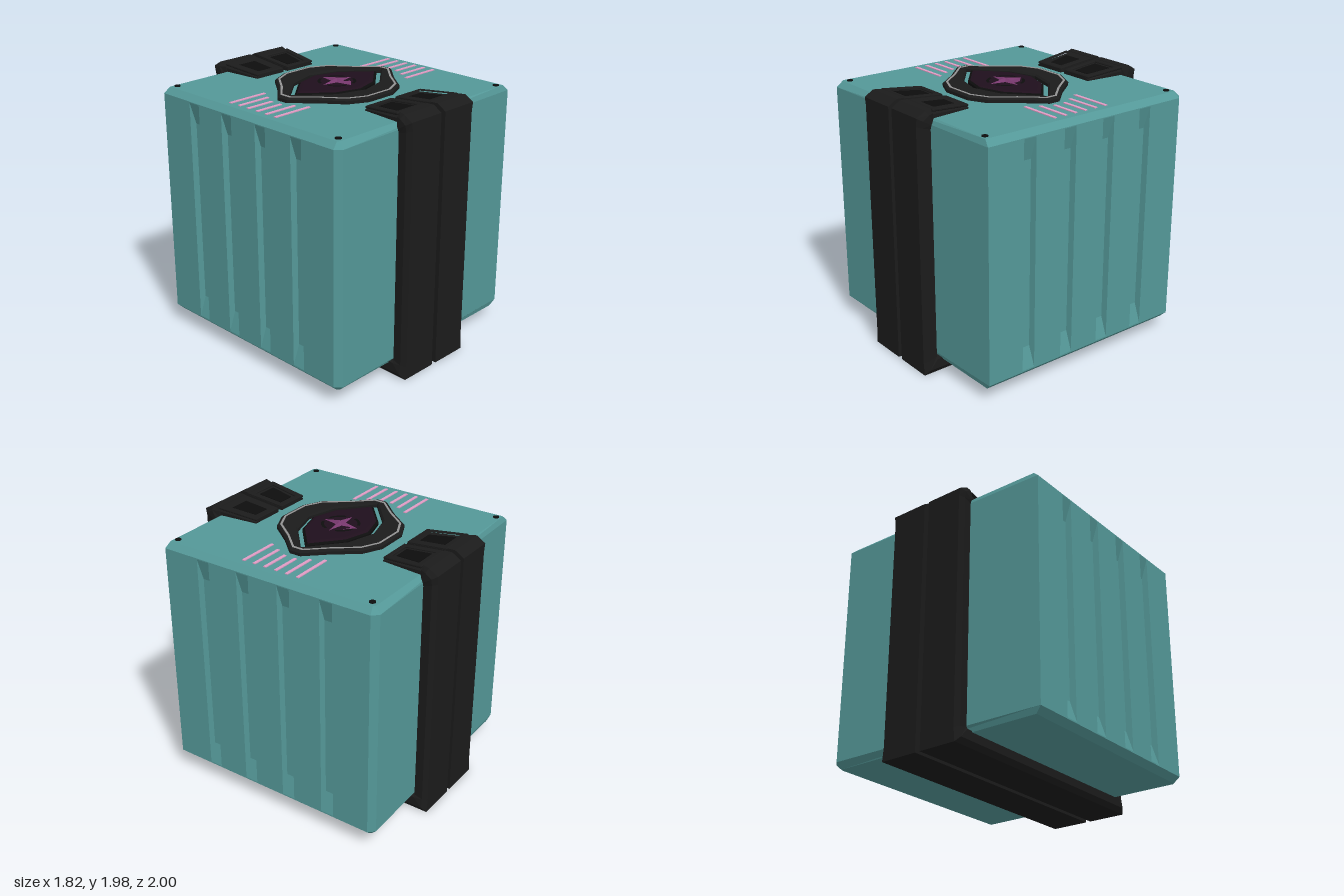
import * as THREE from 'three';

const paint = (color) => new THREE.MeshStandardMaterial({ color, flatShading: true });
const TEAL = paint(0x549898), BLACK = paint(0x1b1b1b), DARK = paint(0x0d0d0d);
const LENS = paint(0x1f0f1c), PURPLE = paint(0x78386e), PINK = paint(0xe09cc4), GREY = paint(0x929292);
const TOP = 1.915; // height of the lid

function addMesh(parent, name, geometry, material) {
  const mesh = new THREE.Mesh(geometry, material);
  mesh.name = name;
  parent.add(mesh);
  return mesh;
}

// Skin a list of equal-length rings of [x, y, z] points and close both ends
function loft(rings) {
  const n = rings[0].length, index = [], last = (rings.length - 1) * n;
  for (let i = 0; i < rings.length - 1; i++) {
    for (let j = 0; j < n; j++) {
      const a = i * n + j, b = i * n + ((j + 1) % n);
      index.push(a, b, b + n, a, b + n, a + n);
    }
  }
  for (let j = 1; j < n - 1; j++) index.push(0, j + 1, j, last, last + j, last + j + 1);
  const geometry = new THREE.BufferGeometry();
  geometry.setAttribute('position', new THREE.Float32BufferAttribute(rings.flat(2), 3));
  geometry.setIndex(index);
  const flat = geometry.toNonIndexed();
  flat.computeVertexNormals();
  return flat;
}

// Mirror quarter-outline points [x, z] (from +x round to z) into a closed loop
function fourWay(quarter) {
  const flip = [...quarter].reverse().map(([x, z]) => [-x, z]);
  const half = [...quarter, ...flip];
  const all = [...half, ...half.map(([x, z]) => [-x, -z])];
  return all.filter((p, i) => {
    const q = all[(i + 1) % all.length];
    return Math.hypot(p[0] - q[0], p[1] - q[1]) > 1e-6;
  });
}

// Flat plate lying on the lid, with an optional hole
function plate(outline, hole, depth, bevel = 0) {
  const toPoints = (list) => list.map(([x, z]) => new THREE.Vector2(x, -z));
  const shape = new THREE.Shape(toPoints(outline));
  if (hole) shape.holes.push(new THREE.Path(toPoints(hole)));
  const geometry = new THREE.ExtrudeGeometry(shape, {
    depth: depth - bevel, bevelEnabled: bevel > 0, bevelSize: bevel,
    bevelThickness: bevel, bevelOffset: -bevel, bevelSegments: 1,
  });
  return geometry.rotateX(-Math.PI / 2);
}

const scaled = (list, k) => list.map(([x, z]) => [x * k, z * k]);

// Chamfered box whose two sides carry four grooves with ramped ends
function bodyRing(y, inset, depth) {
  const r = 0.91 - inset, e = 0.865 - inset * 0.3;
  const half = [[r, y, e]];
  for (const c of [0.52, 0.173, -0.173, -0.52]) {
    const w = 0.052, f = depth > 0 ? 0.042 : w;
    half.push([r, y, c + w], [r - depth, y, c + f], [r - depth, y, c - f], [r, y, c - w]);
  }
  half.push([r, y, -e], [e, y, -r]);
  return [...half, ...half.map(([x, , z]) => [-x, y, -z])];
}

function addBody(group) {
  addMesh(group, 'body', loft([
    bodyRing(0.1, 0.045, 0), bodyRing(0.145, 0, 0), bodyRing(0.155, 0, 0),
    bodyRing(0.31, 0, 0.045), bodyRing(1.7, 0, 0.045),
    bodyRing(1.865, 0, 0), bodyRing(1.872, 0, 0), bodyRing(TOP, 0.045, 0),
  ]), TEAL);
}

// Strap stations: inner z, inner y, outer z, outer y, outer edge x
const stations = [
  [0.55, 1.9, 0.55, 1.936, 0.285],
  [0.865, 1.9, 0.865, 1.966, 0.315],
  [0.87, 1.9, 0.87, 1.98, 0.32],
  [0.89, 1.9, 0.93, 1.982, 0.345],
  [0.9, 1.88, 1.0, 1.94, 0.345],
  [0.9, 1.85, 1.0, 1.88, 0.335],
  [0.9, 0.13, 1.0, 0.1, 0.335],
  [0.9, 0.11, 1.0, 0, 0.345],
];

function strapRing([iz, iy, oz, oy, w], side) {
  const at = (x, t) => [x * side, iy + (oy - iy) * t, iz + (oz - iz) * t];
  const ring = [at(w, 0), at(w, 0.65), at(w - 0.025, 1), at(0.02, 1), at(0.02, 0)];
  return side > 0 ? ring : ring.reverse();
}

// Trapezoid on a strap end, shrunk by a margin
function flapOutline(side, end, m) {
  const z0 = 0.55 + m, z1 = 0.868 - m;
  return [[0.022 + m, z0], [0.283 - m * 1.2, z0], [0.318 - m * 1.2, z1], [0.022 + m, z1]]
    .map(([x, z]) => [x * side, z * end]);
}

// Tilt a flat piece to follow the slope of the strap end
function followSlope(geometry, lift) {
  const p = geometry.attributes.position;
  for (let i = 0; i < p.count; i++) {
    p.setY(i, p.getY(i) + 1.936 + lift + (Math.abs(p.getZ(i)) - 0.55) * 0.095);
  }
  geometry.computeVertexNormals();
  return geometry;
}

function addStraps(group) {
  const path = [...stations];
  for (const [iz, iy, oz, oy, w] of [...stations].reverse()) path.push([-iz, iy, -oz, oy, w]);
  for (const side of [1, -1]) {
    const strap = new THREE.Group();
    strap.name = side > 0 ? 'leftStrap' : 'rightStrap';
    group.add(strap);
    addMesh(strap, 'band', loft(path.map((s) => strapRing(s, side))), BLACK);
    for (const end of [1, -1]) {
      const rim = plate(flapOutline(side, end, 0), flapOutline(side, end, 0.038), 0.014, 0.006);
      addMesh(strap, 'flapRim', followSlope(rim, 0), BLACK);
      const panel = plate(flapOutline(side, end, 0.06), null, 0.004);
      addMesh(strap, 'flapPanel', followSlope(panel, 0), DARK);
    }
  }
}

function addEmblem(group) {
  const emblem = new THREE.Group();
  emblem.name = 'lidEmblem';
  emblem.position.y = TOP;
  group.add(emblem);

  // Black plate with an eye-shaped opening and an inlaid grey line
  const outline = fourWay([[0.545, -0.045], [0.4, -0.2], [0.27, -0.37], [0.125, -0.44]]);
  const eye = fourWay([[0.475, 0], [0.225, -0.215], [0, -0.28]]);
  addMesh(emblem, 'emblemPlate', plate(outline, eye, 0.035, 0.012), BLACK);
  addMesh(emblem, 'emblemLine', plate(scaled(outline, 0.95), scaled(outline, 0.915), 0.038), GREY);

  // Lens with a dark bevelled edge
  const lens = fourWay([[0.425, 0], [0.205, -0.19], [0, -0.25]]);
  const ring = (k, y) => lens.map(([x, z]) => [x * k, y, z * k]);
  addMesh(emblem, 'lensEdge', loft([ring(1, 0), ring(1, 0.02), ring(0.94, 0.03)]), DARK);
  addMesh(emblem, 'lens', loft([ring(0.94, 0.02), ring(0.94, 0.03), ring(0.85, 0.036)]), LENS);

  // Four-pointed faceted star
  const star = (k, y) => Array.from({ length: 8 }, (_, i) => {
    const r = (i % 2 ? 0.035 : 0.145) * k, a = i * Math.PI / 4;
    return [r * Math.cos(a), y, -r * Math.sin(a)];
  });
  addMesh(emblem, 'star', loft([star(1, 0.036), star(0, 0.062)]), PURPLE);

  // Broken ring around the star
  for (let i = 0; i < 4; i++) {
    const arc = new THREE.RingGeometry(0.12, 0.142, 8, 1, i * Math.PI / 2 + 0.3, Math.PI / 2 - 0.6);
    addMesh(emblem, 'ringSegment', arc.rotateX(-Math.PI / 2), DARK).position.y = 0.038;
  }
}

function addLidDetails(group) {
  // Stripes, shorter towards the middle
  for (const side of [1, -1]) {
    [0.5, 0.55, 0.595, 0.595, 0.55, 0.5].forEach((inner, i) => {
      const stripe = addMesh(group, 'stripe', new THREE.BoxGeometry(0.82 - inner, 0.012, 0.024), PINK);
      stripe.position.set(side * (0.82 + inner) / 2, TOP, -0.228 + i * 0.0912);
    });
    // Corner rivets
    for (const end of [1, -1]) {
      const rivet = addMesh(group, 'rivet', new THREE.CylinderGeometry(0.023, 0.023, 0.012, 16), DARK);
      rivet.position.set(side * 0.82, TOP, end * 0.82);
    }
  }
}

export function createModel() {
  const group = new THREE.Group();
  group.name = 'crate';
  addBody(group);
  addStraps(group);
  addEmblem(group);
  addLidDetails(group);
  return group;
}
